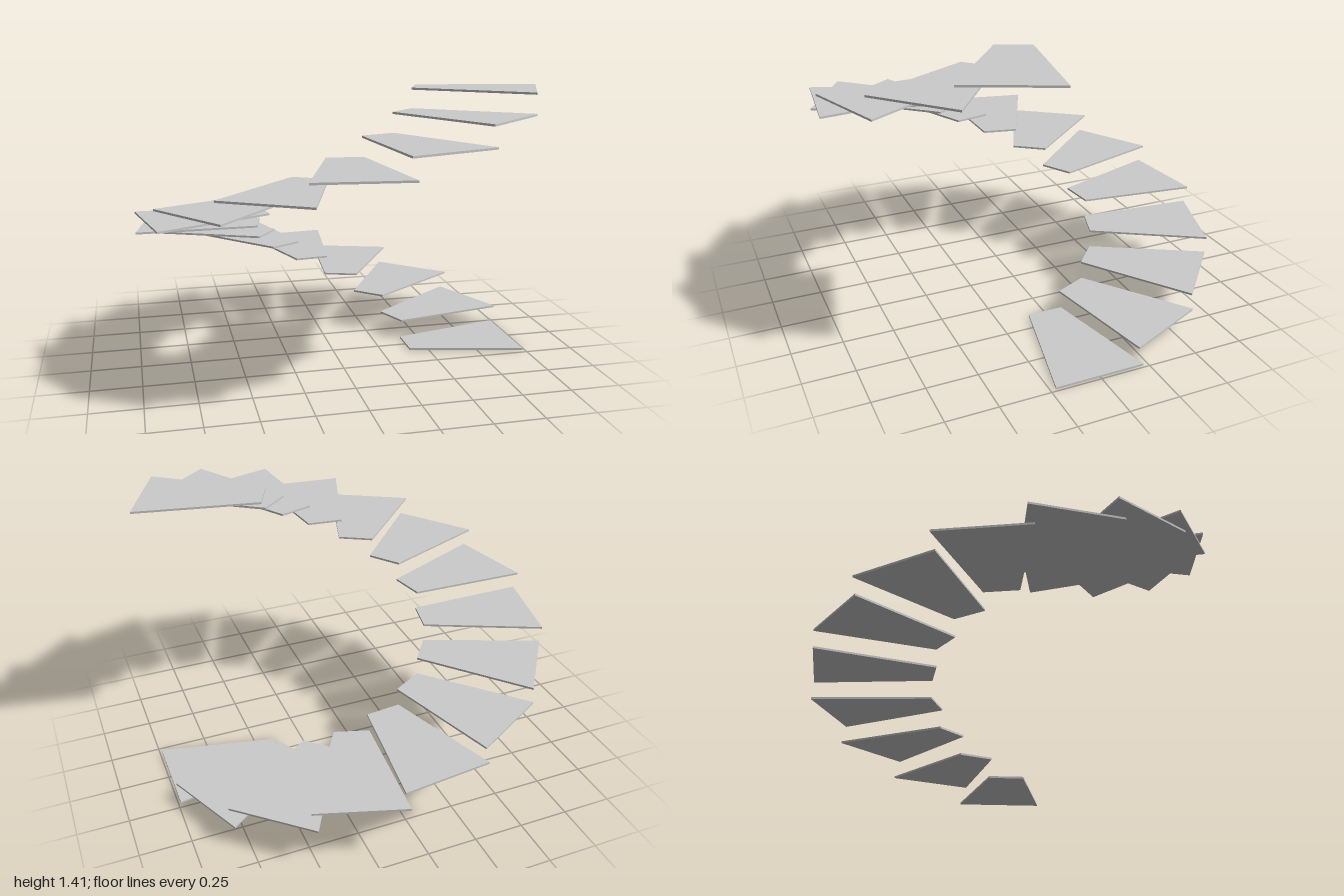
import * as THREE from 'three';

const STEPS = 15, TURN = Math.PI * 2 / STEPS, HALF = Math.PI / 14;
const R_IN = 0.402, R_OUT = 1.004, RISE = 0.0998, THICK = 0.01;

// Wedge-shaped tread with straight inner and outer ends, lying flat along +x
function treadGeometry() {
  const corner = (r, s) => new THREE.Vector2(r * Math.cos(HALF), s * r * Math.sin(HALF));
  const shape = new THREE.Shape([
    corner(R_IN, -1), corner(R_OUT, -1), corner(R_OUT, 1), corner(R_IN, 1),
  ]);
  return new THREE.ExtrudeGeometry(shape, { depth: THICK, bevelEnabled: false })
    .rotateX(-Math.PI / 2);
}

export function createModel() {
  const model = new THREE.Group();
  model.name = 'spiralStaircase';
  const material = new THREE.MeshStandardMaterial({ color: 0xcccccc, flatShading: true });
  const geometry = treadGeometry();

  // Treads climb one full turn around the open centre
  for (let i = 0; i < STEPS; i++) {
    const tread = new THREE.Mesh(geometry, material);
    tread.name = `tread${i + 1}`;
    tread.position.set(0.009, i * RISE, 0);
    tread.rotation.y = i * TURN;
    model.add(tread);
  }
  return model;
}
